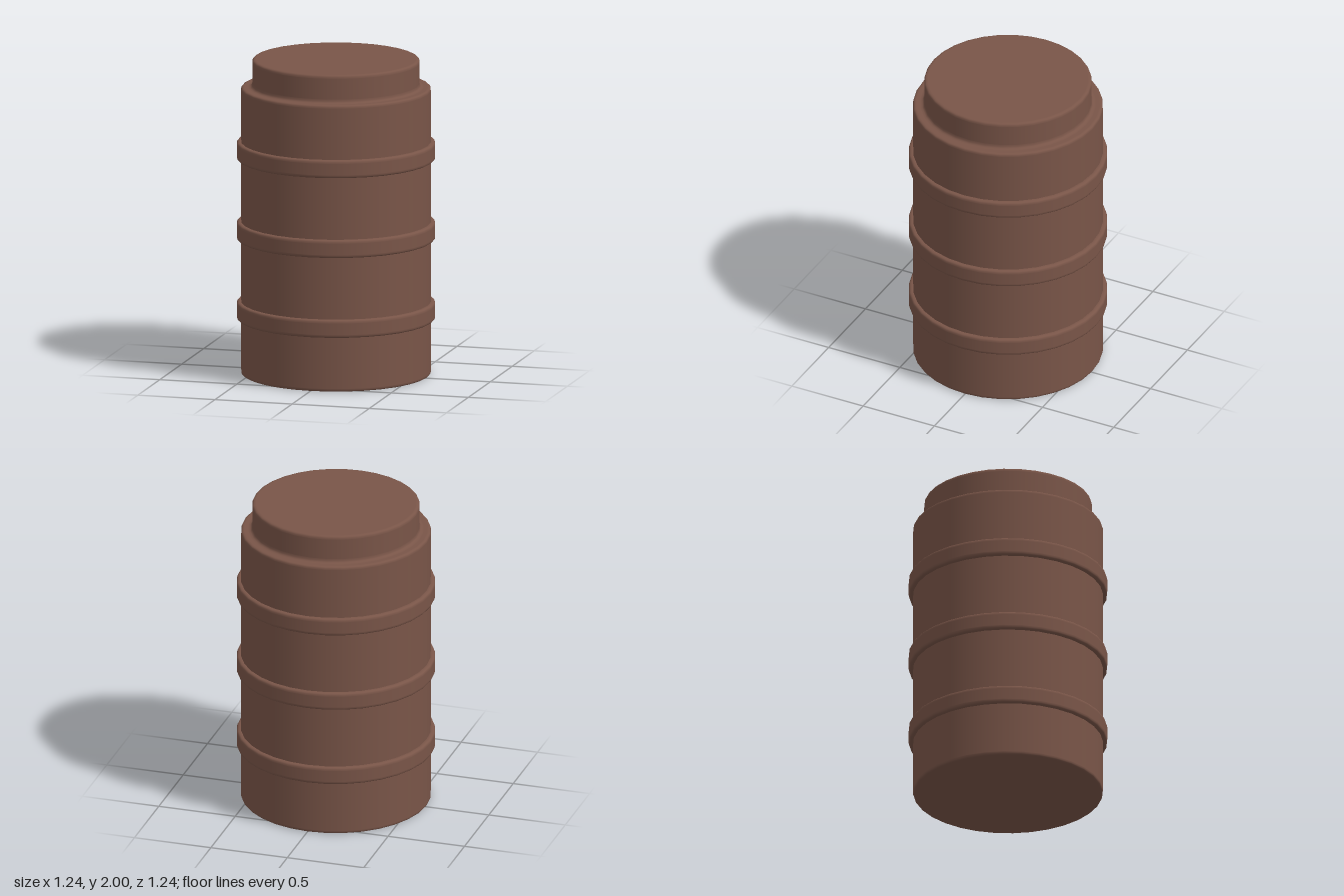
import * as THREE from 'three';

const SIDES = 32;

// Turns corners [radius, height, rounding] into a profile with rounded corners,
// with a support point beside each rounding to keep the flats flat.
function roundedProfile(corners, steps = 4) {
  const points = [];
  corners.forEach(([x, y, r], i) => {
    const corner = new THREE.Vector2(x, y);
    if (!r) {
      points.push(corner);
      return;
    }
    const towards = (j, d) => {
      const other = new THREE.Vector2(corners[j][0], corners[j][1]);
      return other.sub(corner).setLength(d).add(corner);
    };
    const arc = new THREE.QuadraticBezierCurve(towards(i - 1, r), corner, towards(i + 1, r));
    points.push(towards(i - 1, r + 0.002), ...arc.getPoints(steps), towards(i + 1, r + 0.002));
  });
  return points;
}

export function createModel() {
  const model = new THREE.Group();
  model.name = 'barrel';
  const brown = new THREE.MeshStandardMaterial({ color: 0x795548 });

  const addTurned = (name, corners, y = 0) => {
    const mesh = new THREE.Mesh(new THREE.LatheGeometry(roundedProfile(corners), SIDES), brown);
    mesh.name = name;
    mesh.position.y = y;
    model.add(mesh);
  };

  // Body with rounded shoulder, flowing through a fillet into the raised lid
  addTurned('body', [
    [0, 0, 0],
    [0.593, 0, 0.018],
    [0.593, 1.822, 0.018],
    [0.523, 1.822, 0.024],
    [0.523, 2, 0.02],
    [0, 2, 0],
  ]);

  // Three hoops around the body
  ['lowerHoop', 'middleHoop', 'upperHoop'].forEach((name, i) => {
    addTurned(name, [
      [0.575, -0.057, 0],
      [0.62, -0.057, 0.019],
      [0.62, 0.057, 0.019],
      [0.575, 0.057, 0],
    ], 0.404 + i * 0.508);
  });

  return model;
}
